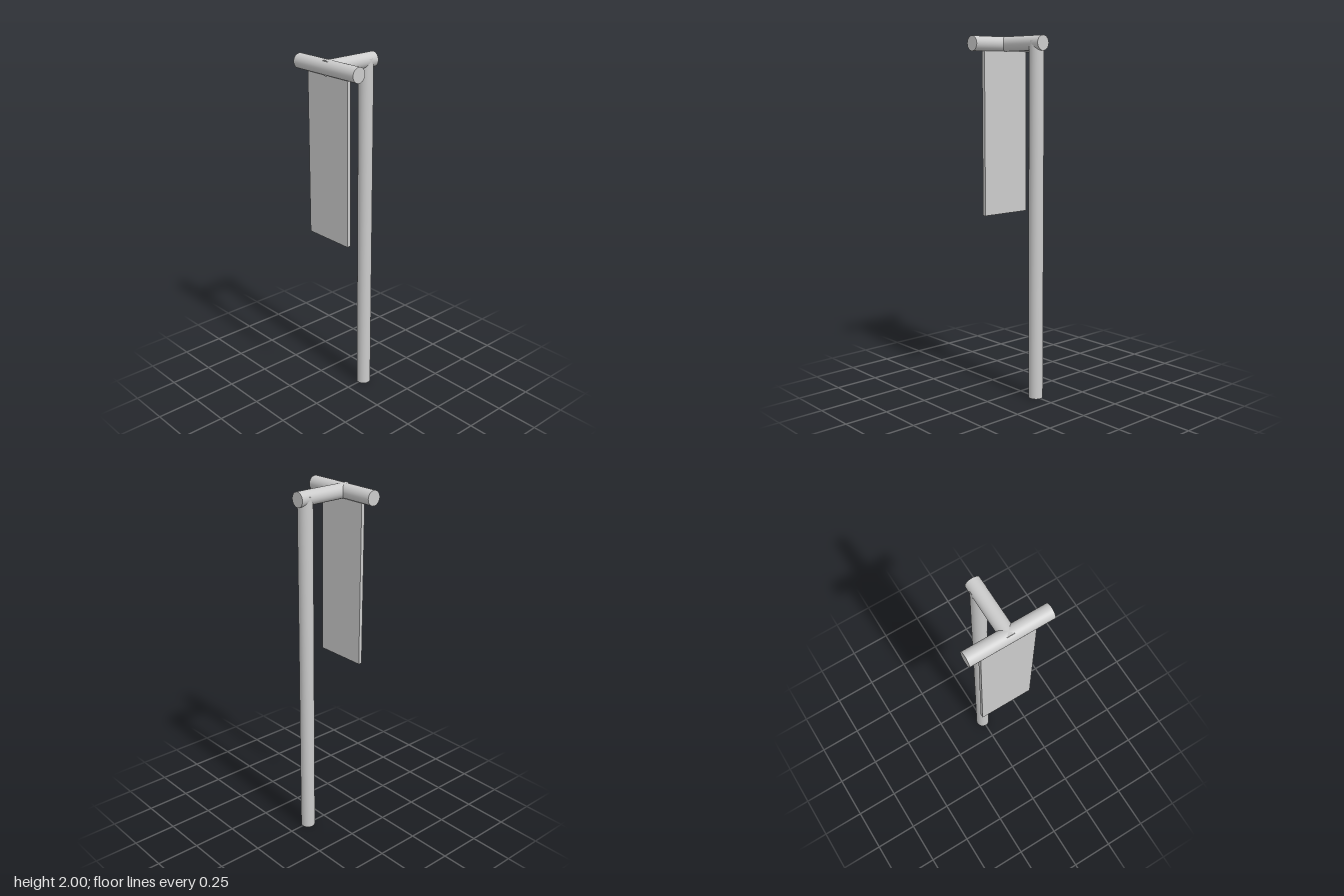
import * as THREE from 'three';

const RADIUS = 0.0405;
const BAR_Y = 2 - RADIUS;
const BANNER_X = -0.1355;

export function createModel() {
  const group = new THREE.Group();
  const material = new THREE.MeshStandardMaterial({ color: 0xcccccc });

  const add = (name, geometry, x, y, z) => {
    const mesh = new THREE.Mesh(geometry, material);
    mesh.name = name;
    mesh.position.set(x, y, z);
    group.add(mesh);
    return mesh;
  };
  const rod = (length) => new THREE.CylinderGeometry(RADIUS, RADIUS, length, 32);

  // Upright pole, its top buried in the arm
  const poleHeight = 1.972;
  add('pole', rod(poleHeight), 0.125, poleHeight / 2, 0);

  // Arm reaching sideways from the pole through the crossbar
  const armStart = -0.157, armEnd = 0.176;
  add('arm', rod(armEnd - armStart), (armStart + armEnd) / 2, BAR_Y, 0).rotation.z = Math.PI / 2;

  // Crossbar running front to back
  add('crossbar', rod(0.455), BANNER_X, BAR_Y, 0).rotation.x = Math.PI / 2;

  // Flat banner hanging from the crossbar
  const bannerBottom = 1.02, bannerTop = 1.95;
  add('banner', new THREE.BoxGeometry(0.021, bannerTop - bannerBottom, 0.303),
    BANNER_X + 0.002, (bannerTop + bannerBottom) / 2, 0);

  return group;
}
